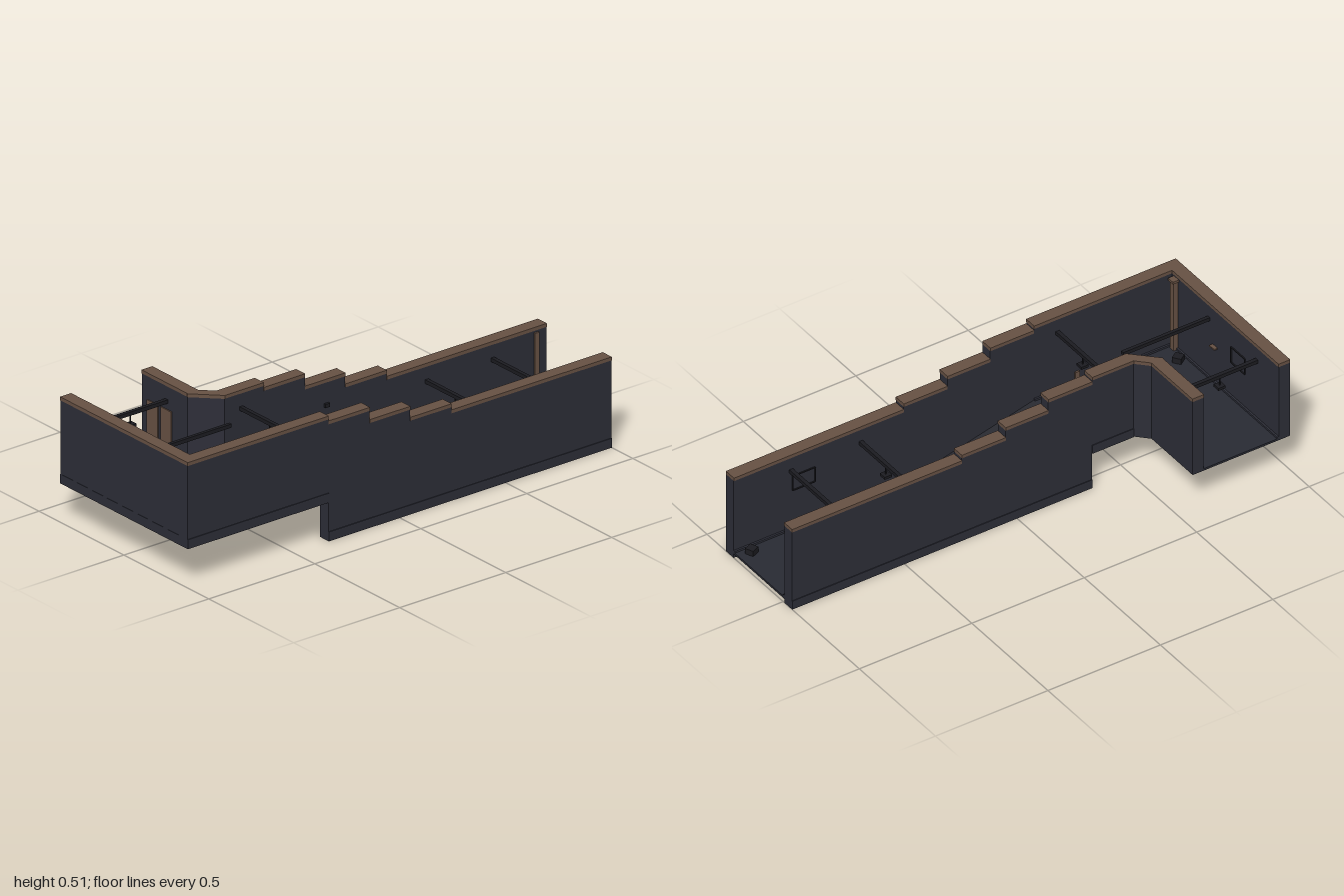
import * as THREE from 'three';

const mat = (name, color, side = THREE.FrontSide) => {
  const m = new THREE.MeshStandardMaterial({ color, side });
  m.name = name;
  return m;
};

export function createModel() {
  const root = new THREE.Group();
  root.name = 'corridor';
  const wallMat = mat('slate wall', 0x2d2e38);
  const floorMat = mat('dark floor', 0x292b34);
  const rampMat = mat('ramp grey', 0x282930);
  const wood = mat('brown wood', 0x685244);
  const black = mat('black metal', 0x1c1c21);
  const green = mat('leaf green', 0x4c8054);

  const add = (name, geo, m) => {
    const mesh = new THREE.Mesh(geo, m);
    mesh.name = name;
    root.add(mesh);
    return mesh;
  };
  // Box given by its limits
  const box = (name, m, x0, x1, y0, y1, z0, z1) => {
    const mesh = add(name, new THREE.BoxGeometry(x1 - x0, y1 - y0, z1 - z0), m);
    mesh.position.set((x0 + x1) / 2, (y0 + y1) / 2, (z0 + z1) / 2);
    return mesh;
  };
  // Upright prism from a plan outline of [x, z] points
  const prism = (name, m, pts, y0, y1) => {
    const shape = new THREE.Shape(pts.map(([x, z]) => new THREE.Vector2(x, -z)));
    const geo = new THREE.ExtrudeGeometry(shape, { depth: y1 - y0, bevelEnabled: false });
    geo.rotateX(-Math.PI / 2);
    geo.translate(0, y0, 0);
    return add(name, geo, m);
  };

  const CAP = 0.014, HIGH = 0.507, UP = 0.157;
  const zF = 0.325, zB = -0.008;

  // Stepped long walls: x start, x end, bottom, top
  const steps = [
    [-0.335, -0.14, 0, 0.487], [-0.14, 0.05, 0, 0.437],
    [0.05, 0.245, 0, 0.392], [0.245, 1, 0, 0.367],
  ];
  const longWall = (side, z0, z1, first) => {
    const out = side === 'front' ? [0, 0.003] : [0.003, 0];
    for (const [x0, x1, b, t] of [[first, -0.335, UP, HIGH], ...steps]) {
      box(side + 'Wall', wallMat, x0, x1, b, t - CAP, z0, z1);
      box(side + 'Cap', wood, x0, x1, t - CAP, t, z0 - 0.002, z1 + 0.002);
      box(side + 'Plinth', wallMat, x0, x1, b, b + 0.038, z0 - out[0], z1 + out[1]);
    }
  };
  longWall('front', zF, 0.374, -1);
  longWall('back', -0.057, zB, -0.52);

  // Side walls of the wing
  const wing = (name, x0, x1, z1) => {
    box(name, wallMat, x0, x1, UP, HIGH - CAP, -0.375, z1);
    box(name + 'Cap', wood, x0 - 0.001, x1 + 0.002, HIGH - CAP, HIGH, -0.376, z1);
  };
  wing('outerWingWall', -0.999, -0.95, zF);
  wing('innerWingWall', -0.615, -0.567, -0.105);
  box('outerWingPlinth', wallMat, -1, -0.95, UP, UP + 0.038, -0.375, 0.375);

  // Angled corner joining wing and corridor
  const corner = [[-0.567, -0.105], [-0.52, -0.057], [-0.52, zB], [-0.615, -0.105]];
  prism('cornerWall', wallMat, corner, UP, HIGH - CAP);
  prism('cornerCap', wood, [[-0.565, -0.107], [-0.519, -0.06], [-0.519, -0.005], [-0.619, -0.105]], HIGH - CAP, HIGH);

  // Floors and ramp
  prism('upperFloor', floorMat, [[-0.95, -0.375], [-0.615, -0.375], [-0.615, -0.105],
    [-0.52, zB], [-0.335, zB], [-0.335, zF], [-0.95, zF]], UP, UP + 0.009);
  box('lowerFloor', floorMat, 0.245, 1, 0.017, 0.026, zB, zF);
  const rampShape = new THREE.Shape([[-0.335, UP], [0.245, 0.017], [0.245, 0.026], [-0.335, UP + 0.009]]
    .map(([x, y]) => new THREE.Vector2(x, y)));
  add('ramp', new THREE.ExtrudeGeometry(rampShape, { depth: zF - zB, bevelEnabled: false }), rampMat)
    .position.z = zB;

  // Inner skirting
  for (const [x0, x1, y] of [[-0.52, -0.335, 0.166], [0.245, 1, 0.026]]) {
    box('backSkirting', wallMat, x0, x1, y, y + 0.008, zB, zB + 0.008);
    box('frontSkirting', wallMat, x0, x1, y, y + 0.008, zF - 0.008, zF);
  }
  box('frontSkirting', wallMat, -0.95, -0.52, 0.166, 0.174, zF - 0.008, zF);
  box('wingSkirting', wallMat, -0.95, -0.942, 0.166, 0.174, -0.375, zF);

  // Ceiling beams
  for (const [x, y] of [[-0.44, 0.425], [0.435, 0.286], [0.745, 0.286]])
    box('crossBeam', black, x - 0.008, x + 0.008, y, y + 0.015, zB, zF);
  box('wingBeam', black, -0.95, -0.615, 0.425, 0.44, -0.238, -0.222);
  box('wingBeam', black, -0.95, -0.565, 0.425, 0.44, 0.078, 0.092);

  // Hanging lamps
  for (const [x, y, z] of [[-0.44, 0.425, 0.16], [0.435, 0.286, 0.16], [-0.785, 0.425, -0.23]]) {
    box('lampRod', black, x - 0.002, x + 0.002, y - 0.036, y, z - 0.002, z + 0.002);
    box('lampShade', black, x - 0.016, x + 0.016, y - 0.046, y - 0.035, z - 0.016, z + 0.016);
    box('lampBulb', wood, x - 0.006, x + 0.006, y - 0.05, y - 0.046, z - 0.006, z + 0.006);
  }

  // Wooden posts
  box('cornerPost', wood, -0.95, -0.93, 0.166, 0.476, 0.286, 0.309);
  box('cornerPostHead', wood, -0.95, -0.924, 0.476, 0.487, 0.282, 0.314);
  box('backPost', wood, 0.94, 0.96, 0.026, 0.345, zB, 0);
  box('frontPost', wood, -0.535, -0.515, 0.166, 0.22, zF - 0.007, zF);

  // Wall panels inside the wing
  for (const z of [-0.34, -0.26])
    box('wallPanel', wood, -0.62, -0.614, 0.24, 0.4, z, z + 0.062);

  // Open frames on the walls
  const frame = (name, w, h) => {
    const g = new THREE.Group();
    g.name = name;
    for (const s of [-1, 1]) {
      const side = new THREE.Mesh(new THREE.BoxGeometry(0.004, h, 0.005), black);
      side.position.x = s * w / 2;
      const rail = new THREE.Mesh(new THREE.BoxGeometry(w, 0.004, 0.005), black);
      rail.position.y = s * h / 2;
      g.add(side, rail);
    }
    root.add(g);
    return g;
  };
  frame('frontWallFrame', 0.1, 0.065).position.set(0.69, 0.235, zF - 0.003);
  const wingFrame = frame('wingFrame', 0.09, 0.07);
  wingFrame.rotation.y = Math.PI / 2;
  wingFrame.position.set(-0.947, 0.36, -0.11);

  // Small shelf and sconce
  box('shelf', wood, -0.95, -0.935, 0.325, 0.331, 0.028, 0.06);
  box('sconce', black, -0.05, -0.03, 0.325, 0.34, zB, 0.002);

  // Stools
  for (const [x, y, z, a] of [[0.947, 0.026, 0.285, 0.4], [-0.91, 0.166, 0.226, 0.6]]) {
    const s = add('stool', new THREE.BoxGeometry(0.036, 0.024, 0.036), black);
    s.position.set(x, y + 0.012, z);
    s.rotation.y = a;
  }

  // Crates and potted plant
  box('crate', wood, 0.3, 0.345, 0.026, 0.078, -0.002, 0.04).rotation.y = 0.12;
  box('smallCrate', wood, 0.345, 0.37, 0.026, 0.065, 0, 0.03).rotation.y = 0.12;
  box('pot', wood, -0.565, -0.53, 0.166, 0.218, 0.004, 0.04).rotation.y = 0.3;
  box('plant', green, -0.568, -0.53, 0.217, 0.26, 0.006, 0.042).rotation.y = 0.3;

  return root;
}
